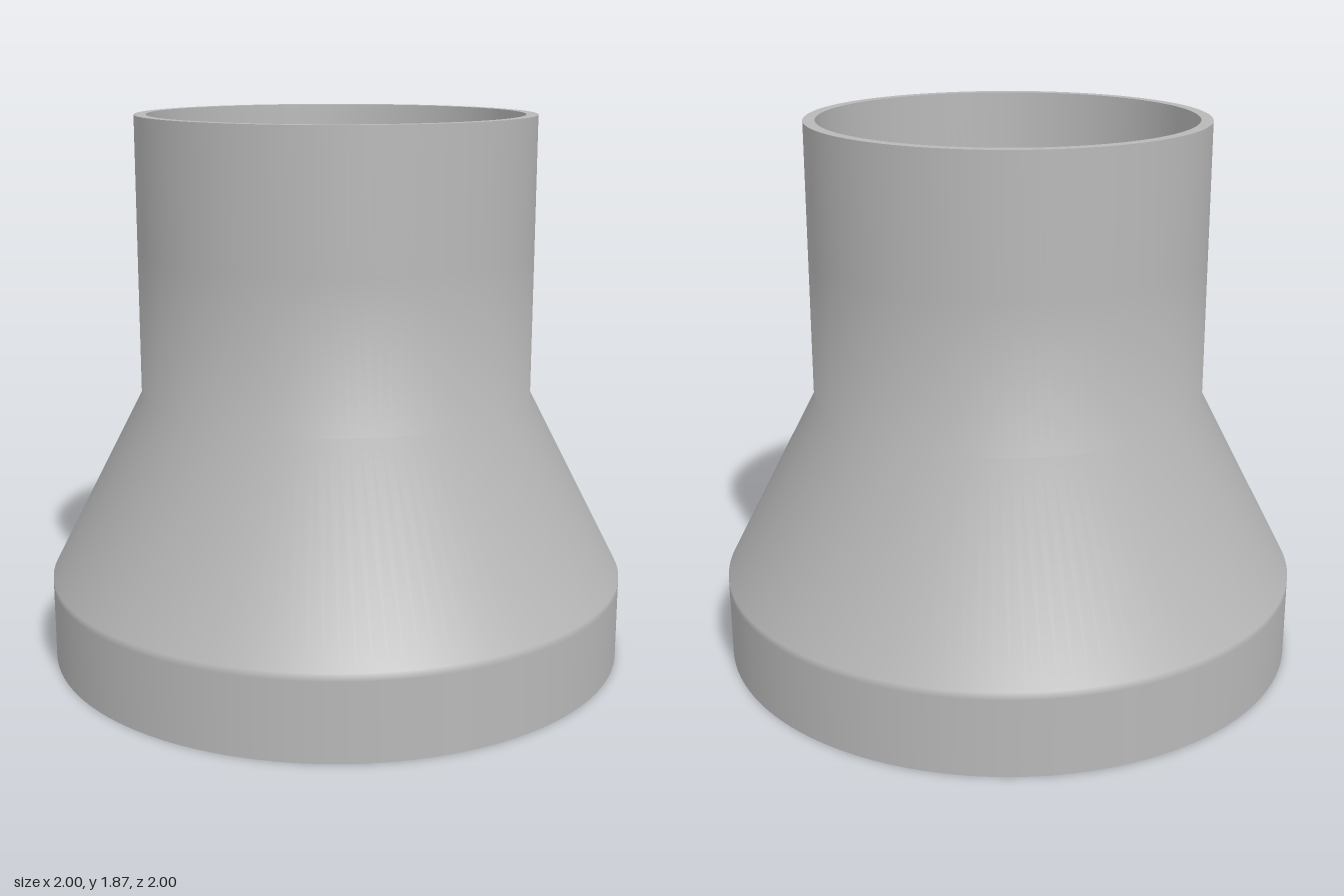
import * as THREE from 'three';

const SEGMENTS = 128;

export function createModel() {
  const group = new THREE.Group();
  group.name = 'reducerFitting';
  const grey = new THREE.MeshStandardMaterial({ color: 0xb8b8b8 });
  grey.name = 'grey plastic';

  // Each profile is one smooth surface; edges between profiles stay sharp.
  // Together they run counterclockwise around the wall section (radius, height).
  const ring = (name, points) => {
    const profile = points.map(([r, y]) => new THREE.Vector2(r, y));
    const mesh = new THREE.Mesh(new THREE.LatheGeometry(profile, SEGMENTS), grey);
    mesh.name = name;
    group.add(mesh);
  };

  ring('bottomRim', [[0.96, 0], [1, 0]]);
  ring('outerWall', [[1, 0], [1, 0.265], [1, 0.29], [0.675, 0.92], [0.675, 1.42], [0.675, 1.87]]);
  ring('topRim', [[0.675, 1.87], [0.635, 1.87]]);
  ring('upperSocket', [[0.635, 1.87], [0.635, 1.46]]);
  ring('upperStop', [[0.635, 1.46], [0.625, 1.46]]);
  ring('innerThroat', [[0.625, 1.46], [0.625, 0.92]]);
  ring('innerCone', [[0.625, 0.92], [0.925, 0.28]]);
  ring('lowerStop', [[0.925, 0.28], [0.96, 0.28]]);
  ring('lowerSocket', [[0.96, 0.28], [0.96, 0]]);

  // Six radial fins: flat on top, sloping underneath down to the lower stop.
  const thickness = 0.025;
  const outline = new THREE.Shape([
    [0, 1.46], [0, 1.2], [0.92, 0.285], [0.63, 0.92], [0.63, 1.46],
  ].map(([r, y]) => new THREE.Vector2(r, y)));
  const finGeometry = new THREE.ExtrudeGeometry(outline, { depth: thickness, bevelEnabled: false });
  finGeometry.translate(0, 0, -thickness / 2);
  for (let i = 0; i < 6; i++) {
    const fin = new THREE.Mesh(finGeometry, grey);
    fin.name = `fin${i + 1}`;
    fin.rotation.y = (i * Math.PI) / 3;
    group.add(fin);
  }
  return group;
}
